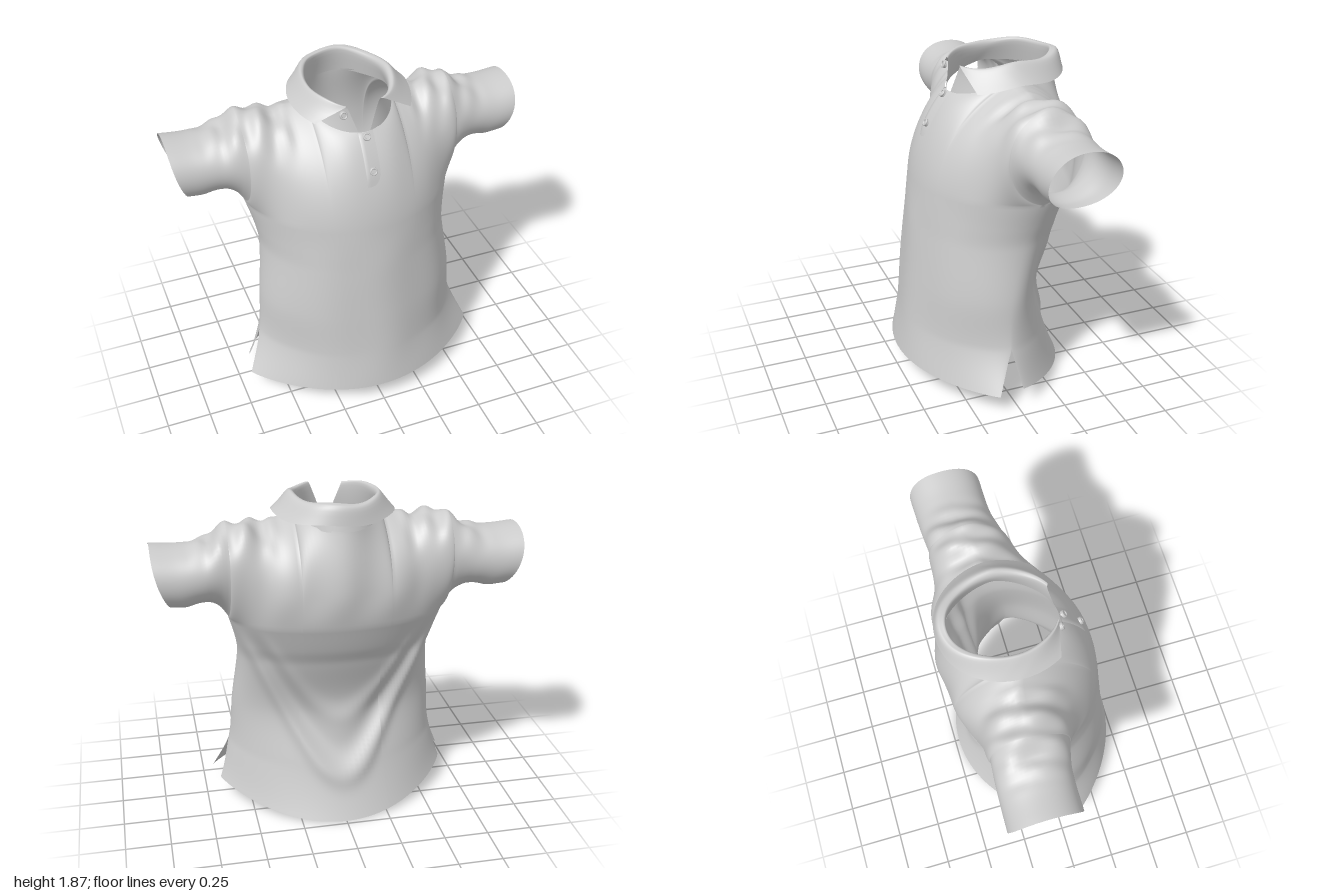
import * as THREE from 'three';
import { mergeGeometries, mergeVertices } from 'three/addons/utils/BufferGeometryUtils.js';

const cloth = new THREE.MeshStandardMaterial({ color: 0xcccccc, side: THREE.DoubleSide });
const { lerp, smoothstep } = THREE.MathUtils;
const bump = (d, w) => Math.exp(-(d * d) / (w * w));

// Smooth curve through [position, value] knots (ascending positions)
function curve(k, x) {
  let i = 0;
  while (i < k.length - 2 && x > k[i + 1][0]) i++;
  const slope = j => {
    const a = k[Math.max(j - 1, 0)], b = k[Math.min(j + 1, k.length - 1)];
    return (b[1] - a[1]) / (b[0] - a[0]);
  };
  const [x0, y0] = k[i], [x1, y1] = k[i + 1], h = x1 - x0;
  const t = Math.min(1, Math.max(0, (x - x0) / h)), t2 = t * t, t3 = t2 * t;
  return y0 * (2 * t3 - 3 * t2 + 1) + y1 * (3 * t2 - 2 * t3)
    + h * (slope(i) * (t3 - 2 * t2 + t) + slope(i + 1) * (t3 - t2));
}

// Surface grid over a list of u values and nv rows; f(u, v) gives [x, y, z]
function grid(us, nv, f, flip) {
  const pos = [], idx = [], n = us.length;
  for (let j = 0; j <= nv; j++) for (const u of us) pos.push(...f(u, j / nv));
  for (let j = 0; j < nv; j++) for (let i = 0; i < n - 1; i++) {
    const a = j * n + i, b = a + 1, c = a + n, d = c + 1;
    if (flip) idx.push(a, c, b, b, c, d); else idx.push(a, b, c, b, d, c);
  }
  const g = new THREE.BufferGeometry();
  g.setAttribute('position', new THREE.Float32BufferAttribute(pos, 3));
  g.setIndex(idx);
  return g;
}

const NECK = 0.24, ARM = 0.6, JOIN = 1.2;   // neck half width, armpit x, chest seam height

// Body knots by height
const width = [[0.12, 0.7], [0.35, 0.61], [0.63, 0.58], [0.93, 0.545], [1.05, 0.56], [1.2, 0.6]];
const frontZ = [[0.12, 0.49], [0.35, 0.455], [0.63, 0.425], [0.95, 0.395], [1.2, 0.365]];
const backZ = [[0.12, -0.475], [0.35, -0.365], [0.63, -0.275], [0.95, -0.37], [1.05, -0.42], [1.2, -0.478]];
const seamZ = [[0.35, 0.02], [0.63, 0], [0.95, -0.06], [1.2, -0.15]];
const frontPower = [[0.12, 0.9], [0.35, 0.7], [0.63, 0.56], [0.95, 0.53], [1.2, 0.56]];
const backPower = [[0.12, 0.8], [0.35, 0.62], [0.63, 0.5], [0.95, 0.45], [1.2, 0.45]];
// Shoulder and sleeve knots by distance from the centre
const crestY = [[0.24, 1.77], [0.35, 1.735], [0.45, 1.73], [0.55, 1.735], [0.64, 1.7], [0.73, 1.65], [0.85, 1.635], [1, 1.645]];
const crestZ = [[0.24, -0.13], [0.45, -0.17], [0.6, -0.19], [1, -0.2]];
const underY = [[0.6, 1.2], [0.65, 1.275], [0.72, 1.32], [0.9, 1.305], [1, 1.31]];
const underZ = [[0.6, -0.15], [0.75, -0.19], [1, -0.2]];
const depth = [[0.24, 0.3], [0.6, 0.28], [0.75, 0.265], [1, 0.265]];
const yokeY = [[0, 1.57], [0.24, 1.65], [0.46, 1.66], [0.6, 1.7]];
const chestZ = [[0, 0.255], [0.12, 0.235], [0.24, 0.16], [0.46, 0.05], [0.6, 0]];
const napeZ = [[0, -0.475], [0.24, -0.45], [0.46, -0.4], [0.6, -0.38]];

// Cloth folds as a function of place, so that neighbouring panels stay joined
function drape([x, y, z]) {
  const ax = Math.abs(x), back = smoothstep(-z, 0.05, 0.22), r = Math.sqrt(x * x + 0.012);
  // hanging folds that swing from the sides to the middle of the back
  const inY = smoothstep(y, 0.1, 0.3) * (1 - smoothstep(y, 0.95, 1.2));
  const c1 = 0.1 + 0.9 * Math.pow(r / 0.5, 1.3), c2 = 0.5 + 0.8 * Math.pow(r / 0.5, 1.5);
  let dz = -back * inY * (0.026 * bump(y - c1, 0.08) + 0.015 * bump(y - c2, 0.07) - 0.016 * bump(y - c1 - 0.17, 0.08));
  // long creases below the back of the collar
  dz += back * 0.009 * Math.sin(x * 21 + 3 * y) * smoothstep(y, 1.2, 1.4) * (1 - smoothstep(ax, 0.35, 0.5));
  // soft waves down the front
  dz += (1 - back) * smoothstep(z, 0.15, 0.3) * 0.004 * Math.sin(x * 17 + y) * smoothstep(y, 0.12, 0.4) * (1 - smoothstep(y, 0.9, 1.15));
  // bunched cloth on the shoulders
  const bunch = smoothstep(ax, 0.3, 0.4) * (1 - smoothstep(ax, 0.68, 0.85)) * smoothstep(y, 1.48, 1.7);
  const dy = 0.014 * bunch * (Math.sin(x * 46 + z * 9) + 0.6 * Math.sin(x * 27 - z * 24));
  return [x, y + dy, z + dz];
}

// Panel below the chest seam: side +1 front, -1 back
function lower(side, s, t) {
  const h = lerp(JOIN, 0.12, t), a = Math.min(1, Math.abs(s)), round = 1 - a * a;
  const slit = smoothstep(h, 0.12, 0.35);
  const w = curve(width, h) - (side < 0 ? 0.03 * (1 - slit) : 0);
  const edge = h > 0.35 ? curve(seamZ, h) : lerp(side > 0 ? 0.12 : -0.03, 0.02, (h - 0.12) / 0.23);
  const p = curve(side > 0 ? frontPower : backPower, h);
  const z = lerp(edge, curve(side > 0 ? frontZ : backZ, h), Math.pow(round, p));
  const drop = side < 0 ? 0.115 * round * (1 - smoothstep(h, 0.12, 0.6)) : 0;
  return drape([s * w, h - drop, z]);
}

// Chest, shoulder and sleeve: one curve from crest or neckline down, at each x
function upper(side, x, t) {
  const ax = Math.abs(x), front = side > 0;
  const c = ax < NECK ? Math.sqrt(1 - (ax / NECK) ** 2) : 0;
  const y0 = curve(crestY, ax) - c * (front ? 0.09 : 0.04);
  const z0 = curve(crestZ, ax) + c * (front ? 0.29 : -0.32);
  const round = Math.max(0, 1 - (ax / ARM) ** 2);
  const y3 = ax < ARM ? JOIN : curve(underY, ax);
  const z3 = ax < ARM
    ? lerp(-0.15, front ? 0.365 : -0.478, Math.pow(round, front ? 0.56 : 0.45))
    : curve(underZ, ax);
  const k = smoothstep(ax, 0.34, ARM), o = side * curve(depth, ax);
  const y1 = lerp(curve(yokeY, ax), y0, k), z1 = lerp(curve(front ? chestZ : napeZ, ax), z0 + o, k);
  const y2 = y3 + 0.22 * (1 - smoothstep(ax, 0.4, 0.74));
  const z2 = lerp(z3 - (front ? 0.03 : 0.055), curve(underZ, ax) + o, k);
  const u = 1 - t, b = [u * u * u, 3 * u * u * t, 3 * u * t * t, t * t * t];
  const y = b[0] * y0 + b[1] * y1 + b[2] * y2 + b[3] * y3;
  const z = b[0] * z0 + b[1] * z1 + b[2] * z2 + b[3] * z3;
  // the cuff curves inwards to the bottom
  const slant = 0.1 * smoothstep(ax, 0.7, 1) * Math.pow(Math.max(0, 1.645 - y) / 0.335, 1.8);
  return drape([x - Math.sign(x) * slant, y, z]);
}

// Columns, closer together at the neck edge and armpit
function columns() {
  const half = [];
  for (let i = 1; i <= 12; i++) half.push(NECK * Math.sin(i / 12 * Math.PI / 2));
  for (let i = 1; i <= 30; i++) half.push(NECK + (ARM - NECK) * Math.sin(i / 30 * Math.PI / 2));
  const body = [...half].reverse().map(v => -v).concat(0, half);
  for (let i = 1; i <= 24; i++) half.push(ARM + (1 - ARM) * i / 24);
  return { body, all: [...half].reverse().map(v => -v).concat(0, half) };
}

function shirt() {
  const { body, all } = columns(), parts = [];
  for (const side of [1, -1]) {
    parts.push(grid(all, 28, (x, t) => upper(side, x, t), side > 0));
    parts.push(grid(body.map(x => x / ARM), 60, (s, t) => lower(side, s, t), side > 0));
  }
  return mergeVertices(mergeGeometries(parts), 1e-4);
}

// Collar: stand rises from the neckline, folds over and falls to two points
function collar() {
  const front = a => Math.max(0, Math.cos(a));
  const rows = [
    { gap: 0.12, rx: 0.238, rf: 0.287, rb: 0.317, y: a => 1.755 - (Math.cos(a) > 0 ? 0.09 : 0.04) * Math.abs(Math.cos(a)) },
    { gap: 0.4, rx: 0.21, rf: 0.275, rb: 0.29, y: a => 1.835 - 0.02 * Math.cos(a) },
    { gap: 0.44, rx: 0.222, rf: 0.285, rb: 0.31, y: a => 1.87 - 0.035 * front(a) },
    { gap: 0.5, rx: 0.245, rf: 0.29, rb: 0.338, y: a => 1.855 - 0.035 * front(a) },
    { gap: 0.94, rx: 0.315, rf: 0.38, rb: 0.355, y: a => 1.77 - 0.05 * front(a) },
  ];
  const us = Array.from({ length: 65 }, (_, i) => i / 64);
  return grid(us, 16, (u, v) => {
    const at = (r, j) => {
      const a = lerp(r.gap, 2 * Math.PI - r.gap, u), c = Math.cos(a);
      // the left half lies a little wider than the right
      const shift = 0.008 * j * smoothstep(Math.sin(a), -1, 1);
      return [r.rx * Math.sin(a) + shift, r.y(a) + 0.006 * Math.sin(5 * a), -0.13 + c * (c > 0 ? r.rf : r.rb)];
    };
    const p = rows.map(at), out = [];
    for (let i = 0; i < 3; i++) out.push(curve(p.map((q, j) => [j / 4, q[i]]), v));
    return out;
  }, false);
}

// Button placket: a flap with one raised edge that fades into the chest
function placket() {
  const us = [-0.042, -0.04, -0.02, 0, 0.02, 0.04, 0.06, 0.08];
  return grid(us, 16, (x, t) => {
    const [px, y, z] = upper(1, x, t * 0.68);
    const lift = x < -0.041 ? -0.004 : lerp(0.009, -0.003, smoothstep(x, -0.04, 0.08));
    return [px, y, z + lerp(lift, -0.003, smoothstep(t, 0.7, 1))];
  }, true);
}

function button(x, y, z, tilt) {
  const g = new THREE.Group();
  const disc = new THREE.Mesh(new THREE.CylinderGeometry(0.02, 0.022, 0.014, 20), cloth);
  const rim = new THREE.Mesh(new THREE.TorusGeometry(0.017, 0.005, 8, 20), cloth);
  disc.rotation.x = Math.PI / 2;
  rim.position.z = 0.007;
  disc.name = 'buttonDisc';
  rim.name = 'buttonRim';
  g.add(disc, rim);
  g.position.set(x, y, z);
  g.rotation.x = -tilt;
  g.name = 'button';
  return g;
}

export function createModel() {
  const group = new THREE.Group();
  group.name = 'poloShirt';
  const add = (name, geometry) => {
    geometry.computeVertexNormals();
    const m = new THREE.Mesh(geometry, cloth);
    m.name = name;
    group.add(m);
  };
  add('shirtBody', shirt());
  add('collar', collar());
  add('placket', placket());
  // two buttons on the placket, one on the collar stand
  for (const t of [0.05, 0.44]) {
    const [, y, z] = upper(1, 0, t), [, y2, z2] = upper(1, 0, t + 0.05);
    group.add(button(0, y, z + 0.01, Math.atan2(z2 - z, y - y2)));
  }
  group.add(button(-0.11, 1.79, 0.135, 0.3));
  return group;
}
